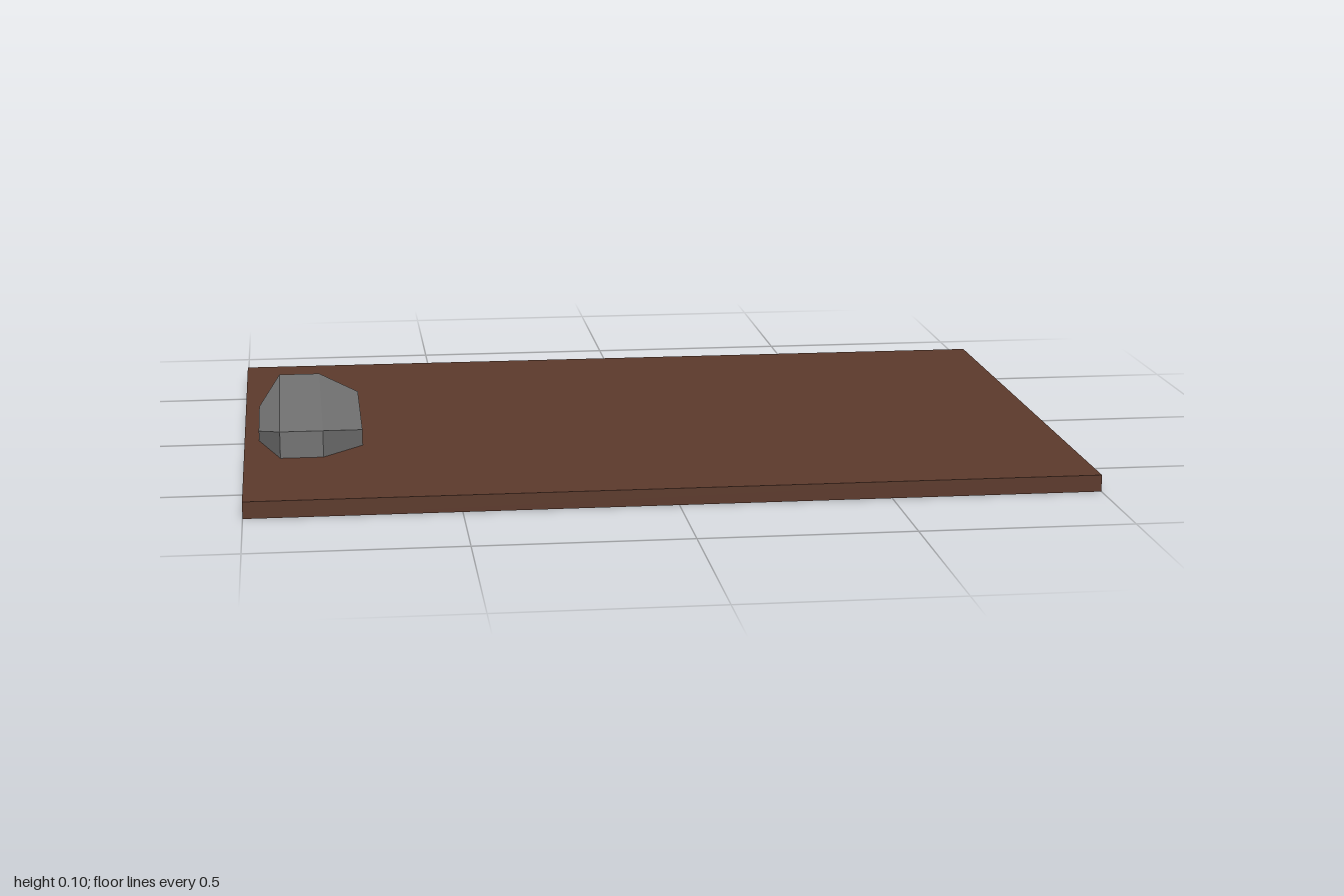
import * as THREE from 'three';

const BOARD = { width: 2, height: 0.04, depth: 1.426 };

// Lofts four-cornered cross-sections [x, top, halfDepth] along x into a flat-faced solid.
function loftAlongX(sections, base) {
  const rings = sections.map(([x, top, w]) => [
    [x, base, w], [x, top, w], [x, top, -w], [x, base, -w],
  ]);
  const positions = [];
  const quad = (a, b, c, d) => positions.push(...a, ...b, ...c, ...a, ...c, ...d);
  for (let i = 0; i < rings.length - 1; i++) {
    const a = rings[i], b = rings[i + 1];
    for (let j = 0; j < 4; j++) {
      const k = (j + 1) % 4;
      quad(a[j], b[j], b[k], a[k]);
    }
  }
  quad(...rings[0]);
  quad(...[...rings[rings.length - 1]].reverse());
  const geometry = new THREE.BufferGeometry();
  geometry.setAttribute('position', new THREE.Float32BufferAttribute(positions, 3));
  geometry.computeVertexNormals();
  return geometry;
}

export function createModel() {
  const group = new THREE.Group();
  group.name = 'clipboard';

  const brown = new THREE.MeshStandardMaterial({ color: 0x5c3a2c });
  brown.name = 'brown board';
  const grey = new THREE.MeshStandardMaterial({ color: 0x737373 });
  grey.name = 'grey metal';

  // Flat backing board
  const board = new THREE.Mesh(
    new THREE.BoxGeometry(BOARD.width, BOARD.height, BOARD.depth), brown);
  board.name = 'board';
  board.position.y = BOARD.height / 2;
  group.add(board);

  // Bevelled clip near the left edge, highest along its middle
  const clip = new THREE.Mesh(loftAlongX([
    [-0.965, 0.064, 0.133],
    [-0.913, 0.105, 0.318],
    [-0.81, 0.105, 0.318],
    [-0.713, 0.079, 0.21],
  ], BOARD.height), grey);
  clip.name = 'clip';
  group.add(clip);

  return group;
}
